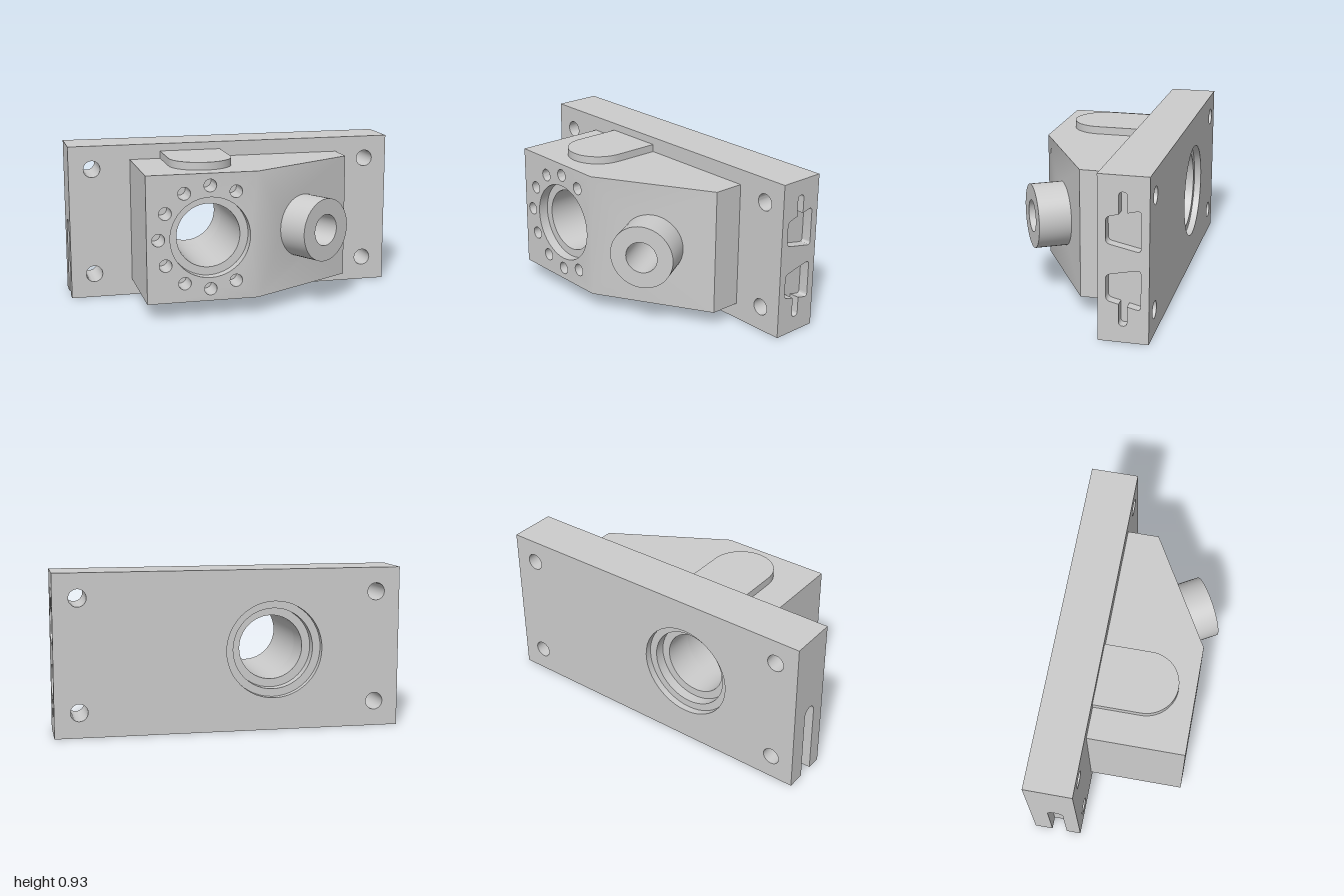
import * as THREE from 'three';
import { mergeGeometries, toCreasedNormals } from 'three/addons/utils/BufferGeometryUtils.js';

const V2 = (x, y) => new THREE.Vector2(x, y);
const V3 = (x, y, z) => new THREE.Vector3(x, y, z);
const pts = list => list.map(([x, y]) => V2(x, y));
const rect = (x0, x1, y0, y1) => pts([[x0, y0], [x1, y0], [x1, y1], [x0, y1]]);

// Counter-clockwise arc or full circle
function arc(x, y, r, from = 0, to = Math.PI * 2, n = 48) {
  const full = to - from > 6.28;
  return Array.from({ length: full ? n : n + 1 }, (_, i) => {
    const a = from + (to - from) * i / n;
    return V2(x + r * Math.cos(a), y + r * Math.sin(a));
  });
}

// Polygon with a rounding radius per corner: [x, y, r]
function rounded(corners) {
  const out = [];
  corners.forEach(([x, y, r], i) => {
    const p = V2(x, y);
    if (!r) { out.push(p); return; }
    const [a, b] = [corners.at(i - 1), corners[(i + 1) % corners.length]].map(c =>
      p.clone().add(V2(c[0] - x, c[1] - y).setLength(r)));
    out.push(...new THREE.QuadraticBezierCurve(a, p, b).getPoints(8));
  });
  return out;
}

// Local frames: u and v lie in the face, the normal points out of it
function frame(u, v, origin) {
  const n = u.clone().cross(v);
  return new THREE.Matrix4().makeBasis(u, v, n).setPosition(origin);
}
const front = z => frame(V3(1, 0, 0), V3(0, 1, 0), V3(0, 0, z));
const back = z => frame(V3(-1, 0, 0), V3(0, 1, 0), V3(0, 0, z));
const rightOf = x => frame(V3(0, 0, -1), V3(0, 1, 0), V3(x, 0, 0));
const leftOf = x => frame(V3(0, 0, 1), V3(0, 1, 0), V3(x, 0, 0));
const top = y => frame(V3(1, 0, 0), V3(0, 0, -1), V3(0, y, 0));
const bottom = y => frame(V3(1, 0, 0), V3(0, 0, 1), V3(0, y, 0));

// Flat face with holes, sunk below its frame by depth
function panel(m, outline, holes = [], depth = 0) {
  const s = new THREE.Shape(outline);
  s.holes = holes.map(h => new THREE.Path(h));
  const g = new THREE.ShapeGeometry(s).toNonIndexed();
  g.deleteAttribute('uv');
  return g.translate(0, 0, -depth).applyMatrix4(m);
}

// Walls along a counter-clockwise loop from depth d0 to d1, facing inward or outward
function wall(m, loop, d0, d1, { outward = false, closed = true } = {}) {
  const pos = [];
  for (let i = 0; i < loop.length - (closed ? 0 : 1); i++) {
    const a = loop[i], b = loop[(i + 1) % loop.length];
    if (a.distanceTo(b) < 1e-6) continue;
    const [p, q] = outward ? [b, a] : [a, b];
    pos.push(p.x, p.y, -d0, q.x, q.y, -d0, p.x, p.y, -d1,
      q.x, q.y, -d0, q.x, q.y, -d1, p.x, p.y, -d1);
  }
  const g = new THREE.BufferGeometry();
  g.setAttribute('position', new THREE.Float32BufferAttribute(pos, 3));
  g.computeVertexNormals();
  return g.applyMatrix4(m);
}

// Blind recess
const pocket = (m, loop, depth, opts) => [wall(m, loop, 0, depth, opts), panel(m, loop, [], depth)];

const material = new THREE.MeshStandardMaterial({ color: 0xcccccc });
function part(name, geos) {
  const mesh = new THREE.Mesh(toCreasedNormals(mergeGeometries(geos.flat(Infinity)), 0.6), material);
  mesh.name = name;
  return mesh;
}

const H = 0.93, MID = 0.467, ZB = -0.455, ZP = -0.175, ZF = 0.385;
const BX = -0.26, BORE = 0.187;

function mountingPlate() {
  const F = front(ZP), B = back(ZB), R = rightOf(1), L = leftOf(-1), D = bottom(0);
  const bolts = s => [-0.86, 0.86].flatMap(x => [0.145, 0.79].map(y => arc(s * x, y, 0.05, 0, Math.PI * 2, 32)));
  // Stepped recess around the bore at the back
  const wide = arc(-BX, MID, 0.28), mid = arc(-BX, MID, 0.235), bore = arc(-BX, MID, BORE);
  // Tapered pockets with a narrow tail on the right end
  const upper = rounded([[0.22, 0.555, 0.025], [0.41, 0.515, 0.025], [0.41, 0.745, 0.025], [0.336, 0.727, 0],
    [0.336, 0.84, 0.023], [0.29, 0.84, 0.023], [0.29, 0.717, 0], [0.22, 0.70, 0.025]]);
  const lower = upper.map(p => V2(p.x, 2 * MID - p.y)).reverse();
  // Slot in the left end, open at the bottom
  const cut = 0.07;
  const slot = [V2(-0.26, 0), ...arc(-0.305, 0.42, 0.045, 0, Math.PI, 16), V2(-0.35, 0)];
  const leftFace = [...pts([[ZP, 0], [ZP, H], [ZB, H], [ZB, 0]]), ...slot.slice().reverse()];
  const bottomFace = pts([[-1, ZB], [1, ZB], [1, ZP], [-1, ZP], [-1, -0.26],
    [-1 + cut, -0.26], [-1 + cut, -0.35], [-1, -0.35]]);
  const socket = arc(0.26, -0.315, 0.09, 0, Math.PI * 2, 32);
  return part('mountingPlate', [
    panel(F, rect(-1, 1, 0, H), [...bolts(1), arc(BX, MID, BORE)]),
    panel(B, rect(-1, 1, 0, H), [...bolts(-1), wide]),
    bolts(-1).map(b => wall(B, b, 0, ZP - ZB)),
    wall(B, wide, 0, 0.04), panel(B, wide, [mid], 0.04),
    wall(B, mid, 0.04, 0.1), panel(B, mid, [bore], 0.1),
    wall(B, bore, 0.1, ZP - ZB),
    panel(top(H), rect(-1, 1, -ZP, -ZB)),
    panel(D, bottomFace, [socket]), pocket(D, socket, 0.3),
    panel(R, rect(-ZP, -ZB, 0, H), [upper, lower]), pocket(R, upper, 0.06), pocket(R, lower, 0.06),
    panel(L, leftFace), pocket(L, slot, cut, { closed: false }),
  ]);
}

// Angled face frame, centred on the boss
const A = Math.PI / 6, BOSS_X = 0.343;
const slant = frame(V3(Math.cos(A), 0, -Math.sin(A)), V3(0, 1, 0),
  V3(BOSS_X, MID, ZF - (BOSS_X - 0.02) * Math.tan(A)));

function housing() {
  const y0 = 0.095, y1 = 0.84, x0 = -0.63, x1 = 0.67, xc = 0.02;
  const zs = ZF - (x1 - xc) * Math.tan(A);
  const F = front(ZF), D = bottom(y0);
  const counterbore = arc(BX, MID, 0.235), bore = arc(BX, MID, BORE);
  // Partial ring of small blind holes
  const ring = Array.from({ length: 9 }, (_, i) => {
    const a = (60 + 30 * i) * Math.PI / 180;
    return arc(BX + 0.302 * Math.cos(a), MID + 0.302 * Math.sin(a), 0.037, 0, Math.PI * 2, 24);
  });
  const plan = pts([[x0, ZP], [x1, ZP], [x1, zs], [xc, ZF], [x0, ZF]]);
  const port = arc(0.25, 0.038, 0.042, 0, Math.PI * 2, 24);
  const c = Math.cos(A);
  return part('housing', [
    panel(F, rect(x0, xc, y0, y1), [counterbore, ...ring]),
    ring.map(h => pocket(F, h, 0.15)),
    wall(F, counterbore, 0, 0.06), panel(F, counterbore, [bore], 0.06),
    wall(F, bore, 0.06, ZF - ZP),
    panel(slant, rect((xc - BOSS_X) / c, (x1 - BOSS_X) / c, y0 - MID, y1 - MID), [arc(0, 0, BORE)]),
    panel(leftOf(x0), rect(ZP, ZF, y0, y1)),
    panel(rightOf(x1), rect(-zs, -ZP, y0, y1)),
    panel(top(y1), plan.map(p => V2(p.x, -p.y))),
    panel(D, plan, [port]), pocket(D, port, 0.28),
  ]);
}

// Hollow boss standing square on the angled face
function angledBoss() {
  const L = 0.187, outer = arc(0, 0, BORE), hole = arc(0, 0, 0.093);
  return part('angledBoss', [
    wall(slant, outer, -L, 0, { outward: true }),
    panel(slant, outer, [hole], -L),
    wall(slant, hole, -L, 0.3), panel(slant, hole, [], 0.3),
  ]);
}

// Round-nosed raised pad on the housing
function topPad() {
  const r = 0.185, T = top(0.885);
  const loop = [...arc(BX, -0.1, r, Math.PI, Math.PI * 2, 32), V2(BX + r, -ZP), V2(BX - r, -ZP)];
  return part('topPad', [panel(T, loop), wall(T, loop, 0, 0.045, { outward: true })]);
}

export function createModel() {
  const group = new THREE.Group();
  group.name = 'bracketHousing';
  group.add(mountingPlate(), housing(), angledBoss(), topPad());
  return group;
}
